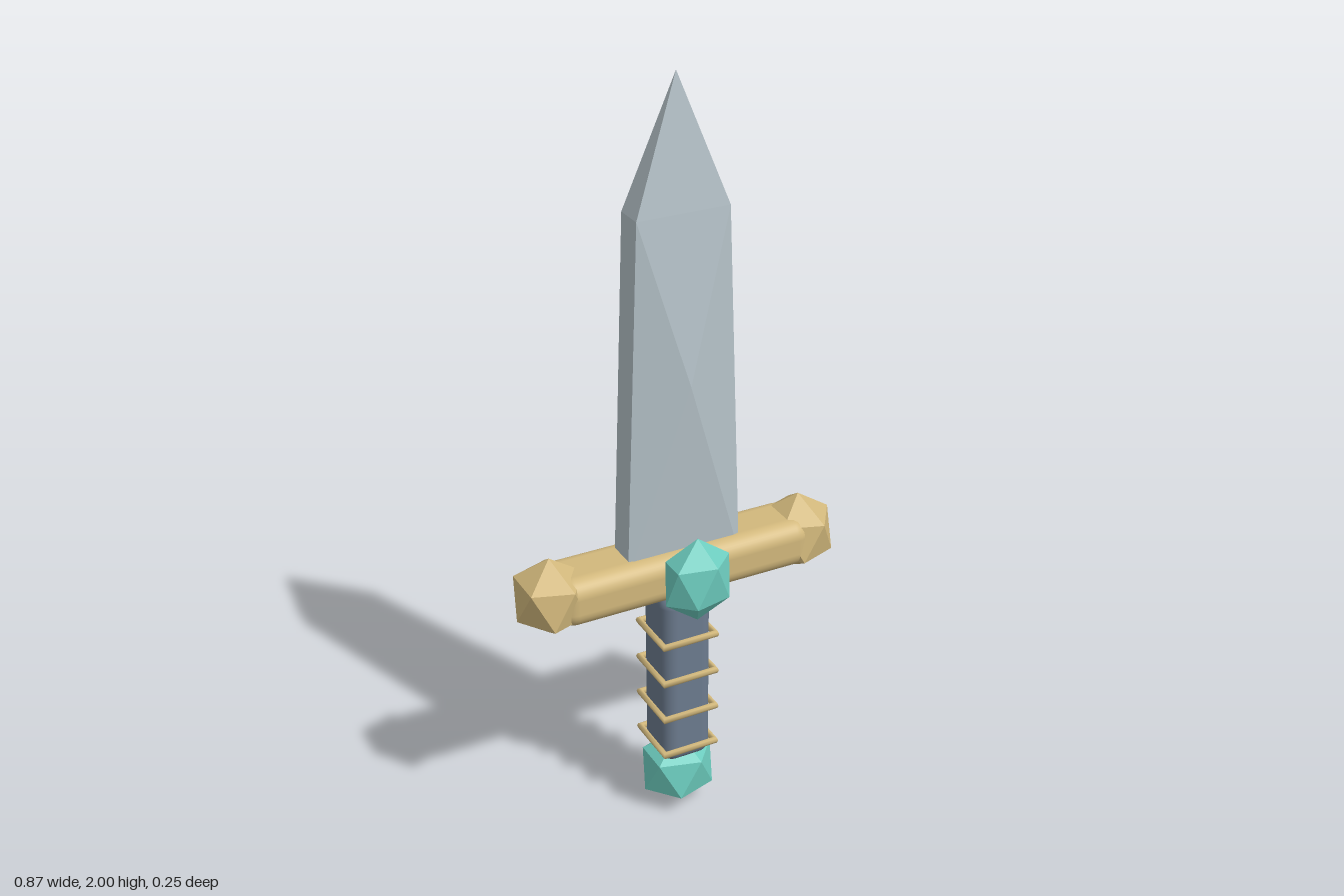
import * as THREE from 'three';
import { RoundedBoxGeometry } from 'three/addons/geometries/RoundedBoxGeometry.js';

const Z = -0.04; // depth of the sword's axis

function material(name, color) {
  const m = new THREE.MeshStandardMaterial({ color });
  m.name = name;
  return m;
}

// Icosahedron standing on a point, with an upper ring corner towards +x
function gemGeometry(rx, ry, rz) {
  const g = new THREE.IcosahedronGeometry(1, 0);
  g.rotateZ(-Math.atan(2 / (1 + Math.sqrt(5))));
  return g.scale(rx, ry, rz);
}

// Tapered slab with a raised centre point on each broad face
function bladeGeometry() {
  const outline = [[-0.155, 0.75], [0.155, 0.75], [0.12, 1.68], [-0.12, 1.68]];
  const d = 0.038;
  const tip = [0, 2, 0];
  const front = outline.map(([x, y]) => [x, y, d]);
  const back = outline.map(([x, y]) => [x, y, -d]);
  const pos = [];
  const tri = (...corners) => corners.forEach((c) => pos.push(...c));
  for (let i = 0; i < 4; i++) {
    const j = (i + 1) % 4;
    if (i !== 2) {
      // narrow edges and base
      tri(front[i], back[i], back[j]);
      tri(front[i], back[j], front[j]);
    }
    // raised facets
    tri([0, 1.26, 0.075], front[i], front[j]);
    tri([0, 1.26, -0.075], back[j], back[i]);
  }
  // four facets of the point
  tri(front[3], front[2], tip);
  tri(front[2], back[2], tip);
  tri(back[2], back[3], tip);
  tri(back[3], front[3], tip);
  const g = new THREE.BufferGeometry();
  g.setAttribute('position', new THREE.Float32BufferAttribute(pos, 3));
  g.computeVertexNormals();
  return g;
}

export function createModel() {
  const model = new THREE.Group();
  model.name = 'shortSword';

  const steel = material('steel', 0xb6c3c9);
  const gold = material('gold', 0xd2b87c);
  const leather = material('slateGrip', 0x6c7b8e);
  const teal = material('tealGem', 0x6dcdbf);

  function add(name, geometry, mat, x, y, z = Z) {
    const mesh = new THREE.Mesh(geometry, mat);
    mesh.name = name;
    mesh.position.set(x, y, z);
    model.add(mesh);
    return mesh;
  }

  add('blade', bladeGeometry(), steel, 0, 0);

  // Crossguard with a faceted knob at each end
  add('crossguard', new RoundedBoxGeometry(0.7, 0.13, 0.166, 4, 0.045), gold, 0, 0.74);
  for (const side of [-1, 1]) {
    add(side > 0 ? 'leftGuardKnob' : 'rightGuardKnob', gemGeometry(0.1, 0.107, 0.105), gold, side * 0.347, 0.742);
  }

  // Grip wrapped with square rings
  add('grip', new RoundedBoxGeometry(0.137, 0.51, 0.137, 4, 0.035), leather, 0, 0.425);
  const ring = new THREE.TorusGeometry(0.102, 0.01, 8, 4).rotateZ(Math.PI / 4).rotateX(Math.PI / 2);
  for (let i = 0; i < 4; i++) add('gripRing', ring, gold, 0, 0.212 + i * 0.1115);

  // Gems
  add('pommelGem', gemGeometry(0.108, 0.11, 0.094), teal, 0, 0.11);
  add('guardGem', gemGeometry(0.098, 0.117, 0.065), teal, 0, 0.75, 0.07);

  return model;
}
